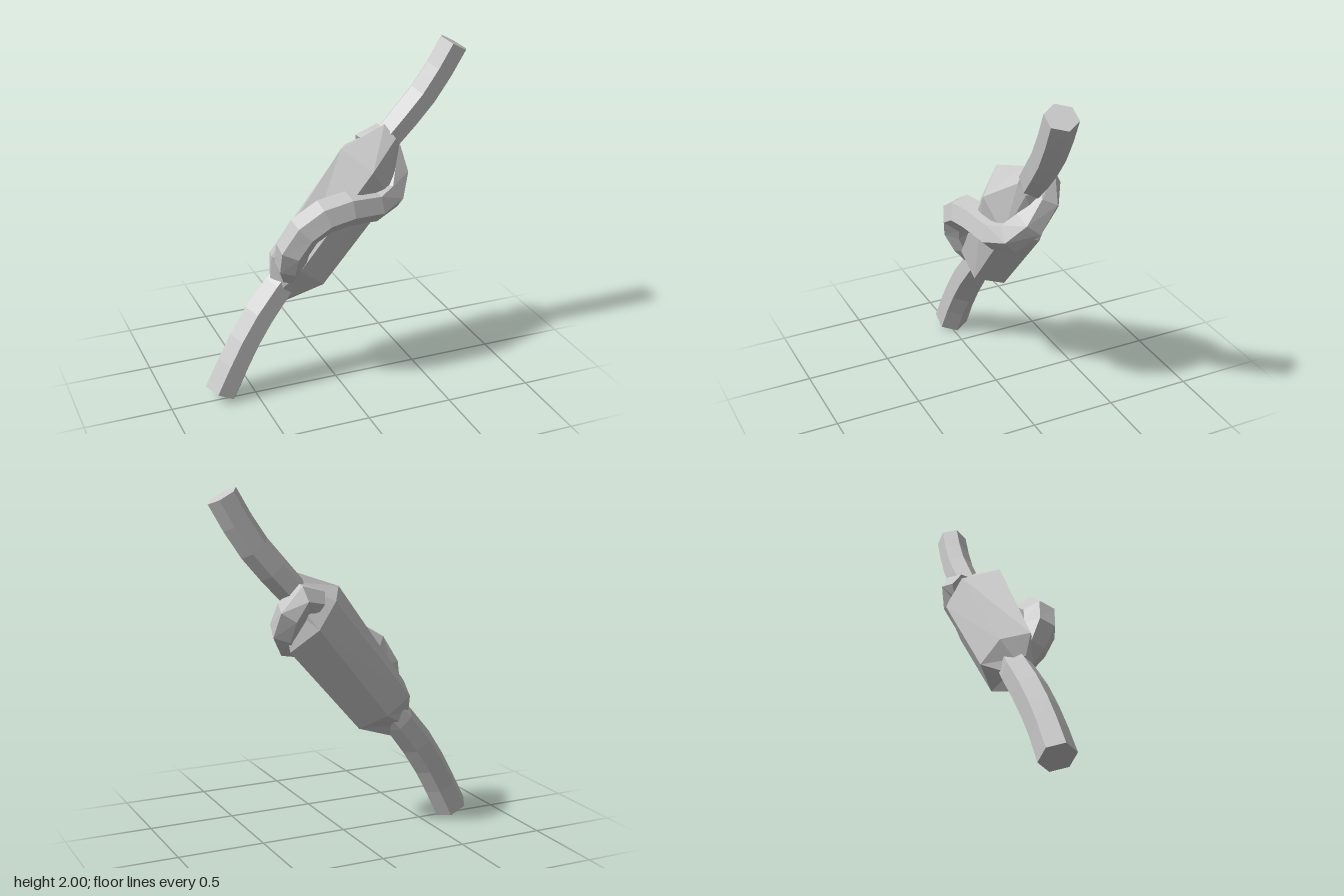
import * as THREE from 'three';

const grey = new THREE.MeshStandardMaterial({ color: 0xc8c8c8, flatShading: true });
grey.name = 'plain grey';

// Skin matching rings of points, close both ends, faces turned outward
function loft(name, rings) {
  const n = rings[0].length, tris = [];
  const quad = (a, b, c, d) => tris.push([a, b, c], [a, c, d]);
  for (let i = 0; i < rings.length - 1; i++)
    for (let j = 0; j < n; j++) {
      const k = (j + 1) % n;
      quad(rings[i][j], rings[i][k], rings[i + 1][k], rings[i + 1][j]);
    }
  const first = rings[0], last = rings[rings.length - 1];
  for (let j = 1; j < n - 1; j++) {
    tris.push([first[0], first[j + 1], first[j]]);
    tris.push([last[0], last[j], last[j + 1]]);
  }
  const volume = tris.reduce((s, [a, b, c]) => s + a.dot(b.clone().cross(c)), 0);
  if (volume < 0) tris.forEach(t => t.reverse());
  const geometry = new THREE.BufferGeometry().setFromPoints(tris.flat());
  geometry.computeVertexNormals();
  const mesh = new THREE.Mesh(geometry, grey);
  mesh.name = name;
  return mesh;
}

const vectors = list => list.map(p => new THREE.Vector3(...p));

// Six-sided rope along a path of [x, y, z, radius]; turn sets where the edges lie
function rope(name, path, turn) {
  const pts = vectors(path.map(p => p.slice(0, 3)));
  const forward = new THREE.Vector3(0, 0, 1);
  const rings = pts.map((p, i) => {
    const tangent = pts[Math.min(i + 1, pts.length - 1)].clone()
      .sub(pts[Math.max(i - 1, 0)]).normalize();
    forward.addScaledVector(tangent, -forward.dot(tangent)).normalize();
    const side = tangent.clone().cross(forward);
    return Array.from({ length: 6 }, (_, j) => {
      const a = j * Math.PI / 3 + turn;
      return p.clone()
        .addScaledVector(forward, Math.cos(a) * path[i][3])
        .addScaledVector(side, Math.sin(a) * path[i][3]);
    });
  });
  return loft(name, rings);
}

export function createModel() {
  const model = new THREE.Group();
  model.name = 'knottedRope';

  // Rope tails, flat faces to the front
  model.add(rope('lowerTail', [
    [-0.70, 0.047, -0.02, 0.102], [-0.62, 0.205, -0.025, 0.1], [-0.545, 0.34, -0.033, 0.1],
    [-0.45, 0.485, -0.042, 0.1], [-0.33, 0.635, -0.05, 0.095], [-0.24, 0.74, -0.05, 0.085],
  ], Math.PI / 6));
  model.add(rope('upperTail', [
    [0.707, 1.956, -0.01, 0.09], [0.63, 1.815, -0.022, 0.09], [0.54, 1.675, -0.034, 0.09],
    [0.44, 1.555, -0.045, 0.09], [0.33, 1.43, -0.055, 0.086], [0.22, 1.30, -0.06, 0.07],
  ], Math.PI / 6));

  // Thick six-sided middle, tapering to both tails
  model.add(loft('knotBody', [
    vectors([[-0.385, 0.71, -0.03], [-0.37, 0.69, -0.09], [-0.33, 0.62, -0.1],
      [-0.305, 0.535, -0.04], [-0.30, 0.58, 0.01], [-0.33, 0.66, 0.035]]),
    vectors([[-0.385, 0.85, 0.0], [-0.34, 0.80, -0.16], [-0.18, 0.71, -0.2],
      [-0.06, 0.62, -0.08], [-0.11, 0.665, 0.085], [-0.25, 0.78, 0.105]]),
    vectors([[0.025, 1.43, 0.01], [0.13, 1.38, -0.18], [0.25, 1.24, -0.228],
      [0.36, 1.10, -0.085], [0.29, 1.14, 0.095], [0.16, 1.325, 0.155]]),
    vectors([[0.30, 1.53, -0.02], [0.34, 1.49, -0.10], [0.37, 1.44, -0.12],
      [0.39, 1.385, -0.06], [0.38, 1.40, 0.01], [0.345, 1.46, 0.04]]),
  ]));

  // Strand passing over the front and round to the back
  model.add(rope('crossingStrand', [
    [-0.29, 0.71, 0.02, 0.05], [-0.295, 0.80, 0.05, 0.085], [-0.295, 0.92, 0.098, 0.097],
    [-0.235, 1.03, 0.125, 0.1], [-0.12, 1.10, 0.13, 0.1], [0.02, 1.125, 0.128, 0.098],
    [0.19, 1.11, 0.098, 0.097], [0.295, 1.135, 0.045, 0.1], [0.355, 1.22, -0.03, 0.098],
    [0.35, 1.33, -0.11, 0.096], [0.30, 1.405, -0.14, 0.092], [0.22, 1.37, -0.13, 0.08],
  ], 0));

  return model;
}
